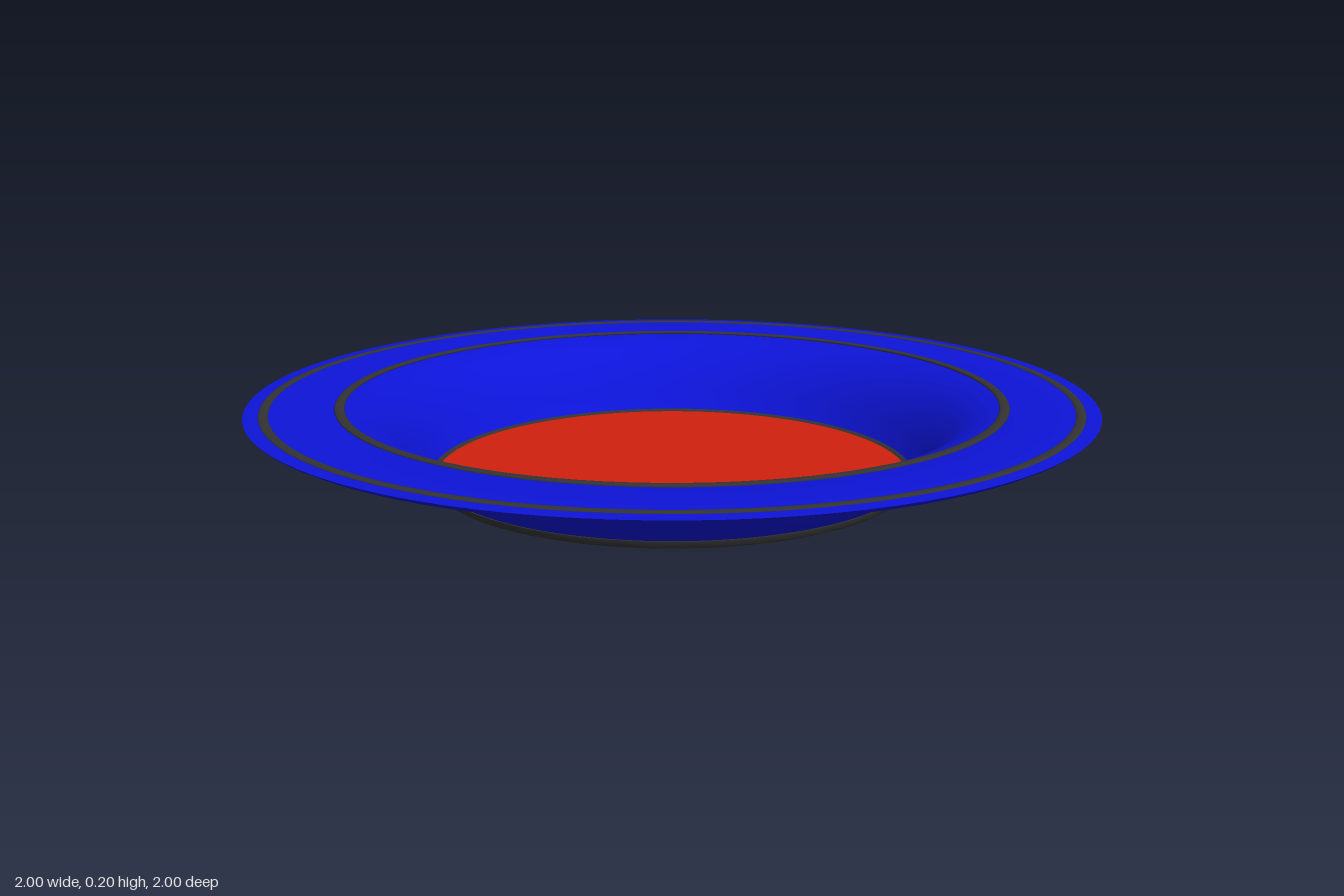
import * as THREE from 'three';
import { toCreasedNormals } from 'three/addons/utils/BufferGeometryUtils.js';

const SEGMENTS = 96;

export function createModel() {
  const plate = new THREE.Group();
  plate.name = 'plate';

  const blue = new THREE.MeshStandardMaterial({ color: 0x0d14d8 });
  const red = new THREE.MeshStandardMaterial({ color: 0xd0200e });
  const dark = new THREE.MeshStandardMaterial({ color: 0x333333 });

  const add = (name, geometry, material, y = 0) => {
    const mesh = new THREE.Mesh(geometry, material);
    mesh.name = name;
    mesh.position.y = y;
    plate.add(mesh);
    return mesh;
  };

  // Revolve a profile of [radius, height] points, keeping sharp corners
  const lathe = (points) => toCreasedNormals(
    new THREE.LatheGeometry(points.map(([r, y]) => new THREE.Vector2(r, y)), SEGMENTS), 0.6);

  // Body: outer wall, underside of the rim, flat top, curved inner wall
  add('body', lathe([
    [0.575, 0.012], [0.585, 0.02], [0.605, 0.047], [0.635, 0.08], [0.655, 0.107], [0.67, 0.117],
    [0.82, 0.147], [0.94, 0.173], [0.98, 0.185], [0.995, 0.193], [1, 0.198],
    [0.99, 0.199], [0.785, 0.198],
    [0.75, 0.19], [0.71, 0.173], [0.675, 0.147], [0.64, 0.11], [0.61, 0.065], [0.59, 0.03], [0.578, 0.014],
  ]), blue);

  // Red floor, seen from above and below
  add('floor', new THREE.CylinderGeometry(0.572, 0.572, 0.012, SEGMENTS), red, 0.007);

  // Dark band around the floor
  add('baseRing', lathe([
    [0.57, 0], [0.577, 0], [0.583, 0.007], [0.586, 0.018], [0.578, 0.018], [0.57, 0.013],
  ]), dark);

  // Slightly raised decorative bands on the rim
  for (const [name, radius] of [['innerRimRing', 0.785], ['outerRimRing', 0.955]]) {
    const ring = new THREE.TorusGeometry(radius, 0.012, 10, SEGMENTS);
    ring.rotateX(-Math.PI / 2).scale(1, 0.35, 1);
    add(name, ring, dark, 0.198);
  }

  return plate;
}
